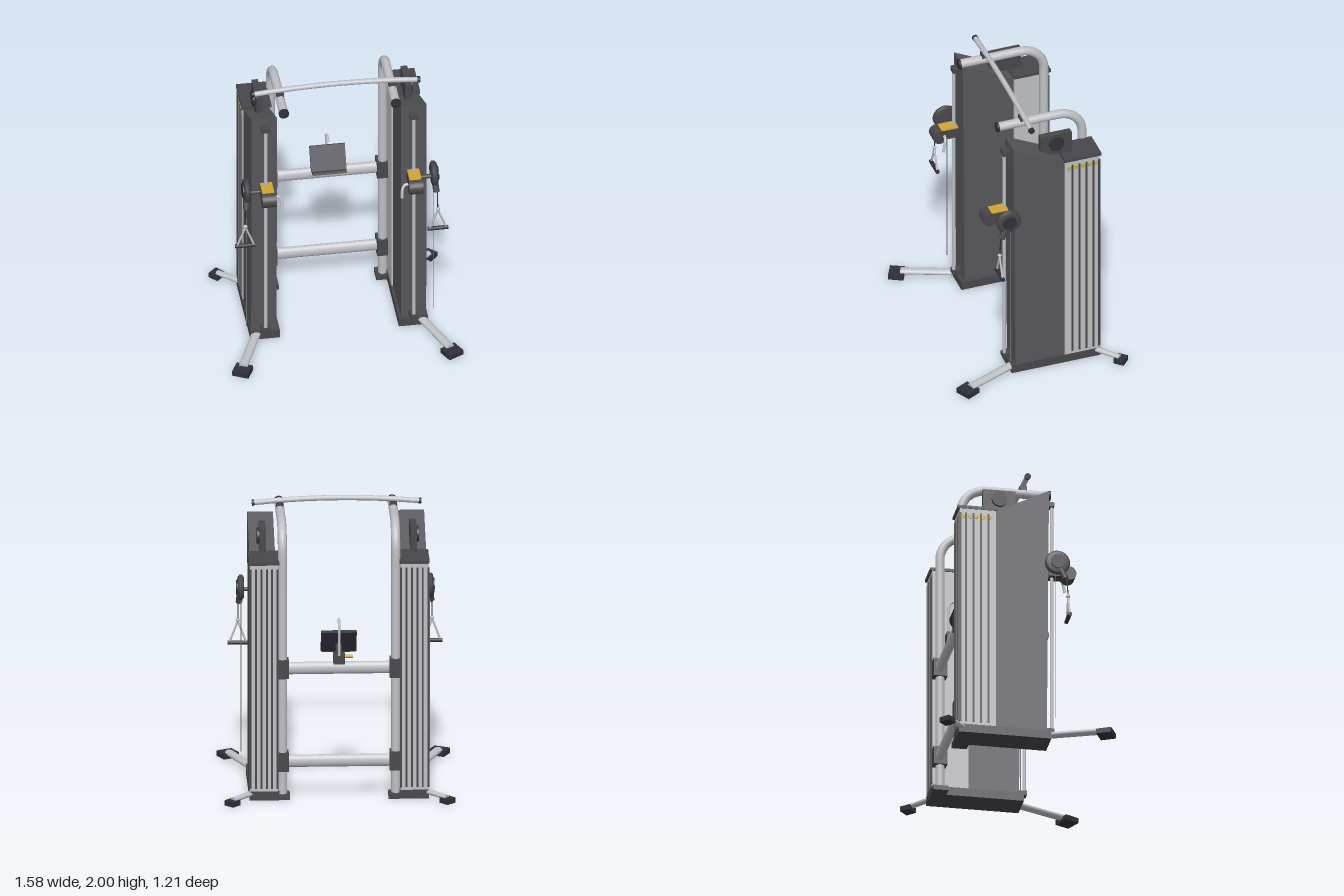
import * as THREE from 'three';

const V = (x, y, z) => new THREE.Vector3(x, y, z);
const mat = (name, color) => {
  const m = new THREE.MeshStandardMaterial({ color });
  m.name = name;
  return m;
};

// Geometry helpers, all in model coordinates
const box = (x0, x1, y0, y1, z0, z1) =>
  new THREE.BoxGeometry(x1 - x0, y1 - y0, z1 - z0).translate((x0 + x1) / 2, (y0 + y1) / 2, (z0 + z1) / 2);

// Capped bar between two points; flat squashes its height before it is aimed
function bar(a, b, r, sides = 20, flat = 1) {
  const d = b.clone().sub(a);
  const g = new THREE.CylinderGeometry(r, r, d.length(), sides).rotateX(Math.PI / 2).scale(1, flat, 1);
  const m = new THREE.Object3D();
  m.position.copy(a).add(b).multiplyScalar(0.5);
  m.lookAt(b);
  m.updateMatrix();
  return g.applyMatrix4(m.matrix);
}

const tube = (pts, r, segs = 24) =>
  new THREE.TubeGeometry(new THREE.CatmullRomCurve3(pts, false, 'centripetal'), segs, r, 16);

// Outline in (z, y) extruded from x0 to x1
function sidePanel(pts, x0, x1) {
  const shape = new THREE.Shape(pts.map(p => new THREE.Vector2(p[0], p[1])));
  return new THREE.ExtrudeGeometry(shape, { depth: x1 - x0, bevelEnabled: false })
    .rotateY(-Math.PI / 2).translate(x1, 0, 0);
}

// Copy reflected across x = 0 with the corner order restored
function mirrored(geo) {
  const g = geo.clone().scale(-1, 1, 1);
  const n = g.index ? g.index.count : g.attributes.position.count;
  const idx = [];
  for (let i = 0; i < n; i += 3) {
    for (const k of [i, i + 2, i + 1]) idx.push(g.index ? g.index.getX(k) : k);
  }
  g.setIndex(idx);
  return g;
}

export function createModel() {
  const model = new THREE.Group();
  model.name = 'cableMachine';
  const panel = mat('panelGrey', 0x57575b);
  const fitting = mat('fittingGrey', 0x48484c);
  const silver = mat('silver', 0xbfc0c4);
  const black = mat('rubberBlack', 0x30303a);
  const gold = mat('gold', 0xd0a632);
  const wire = mat('wireGrey', 0x77777b);

  const add = (name, geo, material) => {
    const m = new THREE.Mesh(geo, material);
    m.name = name;
    model.add(m);
  };
  const pair = (name, geo, material) => {
    add(name + 'Left', geo, material);
    add(name + 'Right', mirrored(geo), material);
  };

  // Towers: base, sloped front housing, slatted rear housing and cap
  pair('towerBase', box(0.405, 0.605, 0, 0.06, -0.455, 0.18), fitting);
  pair('towerHousing', sidePanel([[-0.2, 0.06], [0.15, 0.06], [0.165, 1.845], [-0.2, 1.66]], 0.423, 0.596), panel);
  pair('rearHousing', box(0.412, 0.603, 0.06, 1.66, -0.447, -0.2), silver);
  pair('rearCap', box(0.405, 0.608, 1.66, 1.682, -0.46, -0.197), fitting);
  for (const z of [-0.252, -0.304, -0.354, -0.405, -0.444]) {
    pair('sideGroove', box(0.6, 0.606, 0.08, 1.63, z - 0.0065, z + 0.0065), fitting);
  }
  for (const z of [-0.237, -0.278, -0.329, -0.38, -0.42]) {
    pair('sideMark', box(0.601, 0.605, 1.59, 1.615, z - 0.014, z + 0.014), gold);
  }
  for (const x of [0.416, 0.453, 0.489, 0.526, 0.562, 0.599]) {
    pair('backGroove', box(x - 0.0065, x + 0.0065, 0.08, 1.63, -0.452, -0.445), fitting);
  }

  // Pulley housing on the sloped top
  pair('topHousing', box(0.487, 0.53, 1.69, 1.85, -0.275, -0.053), fitting);
  pair('topDisc', bar(V(0.53, 1.78, -0.163), V(0.546, 1.78, -0.163), 0.053, 28), black);

  // Floor legs and pads
  pair('frontLeg', bar(V(0.55, 0.04, 0.13), V(0.705, 0.036, 0.51), 0.031, 20, 0.65), silver);
  pair('frontPad', new THREE.BoxGeometry(0.115, 0.036, 0.105).rotateY(0.47).translate(0.713, 0.018, 0.533), black);
  pair('rearLeg', bar(V(0.57, 0.045, -0.41), V(0.72, 0.036, -0.55), 0.022, 20, 0.8), silver);
  pair('rearPad', new THREE.BoxGeometry(0.075, 0.036, 0.078).rotateY(0.82).translate(0.725, 0.018, -0.555), black);

  // Bent uprights with end caps and floor plates
  const path = [V(0.382, 0.02, -0.4), V(0.382, 0.8, -0.4), V(0.382, 1.6, -0.4)];
  for (let i = 0; i <= 8; i++) {
    const a = (i / 8) * Math.PI / 2;
    path.push(V(0.382, 1.735 + 0.17 * Math.sin(a), -0.23 - 0.17 * Math.cos(a)));
  }
  path.push(V(0.382, 1.905, 0), V(0.382, 1.905, 0.2));
  pair('upright', tube(path, 0.031, 90), silver);
  pair('uprightCap', bar(V(0.382, 1.905, 0.197), V(0.382, 1.905, 0.213), 0.035), black);
  pair('uprightPlate', box(0.332, 0.41, 0, 0.034, -0.455, -0.35), fitting);

  // Cross members and their brackets
  for (const y of [0.262, 0.917]) {
    add('crossMember', bar(V(-0.36, y, -0.405), V(0.36, y, -0.405), 0.03, 28, 1.42), silver);
    pair('crossBracket', box(0.34, 0.412, y - 0.064, y + 0.064, -0.45, -0.355), fitting);
  }

  // Arched pull-up bar
  const arch = [];
  for (let i = -4; i <= 4; i++) arch.push(V(i * 0.14, 1.981 - 0.028 * (i / 4) ** 2, 0.025));
  add('pullUpBar', tube(arch, 0.018, 40), silver);
  pair('pullUpCap', bar(V(0.554, 1.954, 0.025), V(0.572, 1.952, 0.025), 0.021), black);
  pair('pullUpMount', box(0.357, 0.407, 1.925, 1.958, 0.002, 0.048), fitting);

  // Guide rod on the tower front
  pair('guideRod', bar(V(0.505, 0.09, 0.2), V(0.505, 1.785, 0.2), 0.012), silver);
  for (const y of [0.095, 1.775]) {
    pair('rodBlock', box(0.476, 0.534, y - 0.016, y + 0.016, 0.148, 0.214), fitting);
  }

  // Sliding carriage with roller, gold plate and release lever
  pair('carriageBody', box(0.458, 0.545, 1.24, 1.312, 0.175, 0.31), fitting);
  pair('carriageRoller', bar(V(0.452, 1.268, 0.312), V(0.548, 1.268, 0.312), 0.05, 28), fitting);
  pair('carriagePlate', box(0.46, 0.542, 1.311, 1.32, 0.182, 0.302), gold);
  pair('releaseLever', tube([V(0.46, 1.275, 0.285), V(0.43, 1.27, 0.287), V(0.413, 1.245, 0.295), V(0.408, 1.18, 0.308)], 0.01), silver);

  // Swivel pulley on the outer side
  const wheel = [[0, 0], [0.07, 0], [0.085, 0.012], [0.085, 0.03], [0.07, 0.042], [0, 0.042]]
    .map(p => new THREE.Vector2(p[0], p[1]));
  pair('pulley', new THREE.LatheGeometry(wheel, 32).rotateZ(-Math.PI / 2).translate(0.617, 1.295, 0.215), fitting);
  pair('pulleyHub', bar(V(0.655, 1.295, 0.215), V(0.668, 1.295, 0.215), 0.05, 28), black);
  pair('pulleyAxle', bar(V(0.53, 1.28, 0.225), V(0.625, 1.28, 0.225), 0.014), fitting);
  pair('pulleyArm', bar(V(0.64, 1.26, 0.23), V(0.648, 1.175, 0.268), 0.022, 16), fitting);

  // Cables and stirrup handle
  pair('towerCable', bar(V(0.636, 0.14, 0.2), V(0.636, 1.25, 0.2), 0.003, 8), wire);
  pair('handleCable', bar(V(0.655, 1.04, 0.285), V(0.652, 1.19, 0.275), 0.004, 8), black);
  pair('cableBall', new THREE.SphereGeometry(0.014, 16, 12).translate(0.655, 1.042, 0.285), silver);
  for (const x of [0.598, 0.712]) {
    pair('handleStrap', bar(V(0.655, 1.035, 0.285), V(x, 0.885, 0.285), 0.007, 12), silver);
  }
  pair('handleGrip', bar(V(0.585, 0.883, 0.285), V(0.725, 0.883, 0.285), 0.014, 16), black);

  // Centre console: mount, tilted board, tray, hook and lever
  add('consoleMount', box(-0.04, 0.04, 0.945, 1.005, -0.43, -0.335), fitting);
  add('consoleStem', bar(V(0, 0.98, -0.38), V(0, 1.07, -0.35), 0.022), fitting);
  add('consoleBoard', new THREE.BoxGeometry(0.24, 0.18, 0.025).rotateX(-0.52).translate(0, 1.085, -0.335), black);
  add('consoleTray', new THREE.BoxGeometry(0.23, 0.018, 0.06).rotateX(-0.4).translate(0, 1.012, -0.27), fitting);
  add('consoleHook', tube([V(0, 0.98, -0.415), V(0, 1.1, -0.415), V(0, 1.2, -0.412), V(0, 1.236, -0.395),
    V(0, 1.242, -0.36), V(0, 1.225, -0.318)], 0.009, 32), silver);
  add('consoleLever', bar(V(-0.095, 0.981, -0.36), V(-0.03, 0.981, -0.36), 0.011, 16), gold);

  return model;
}
